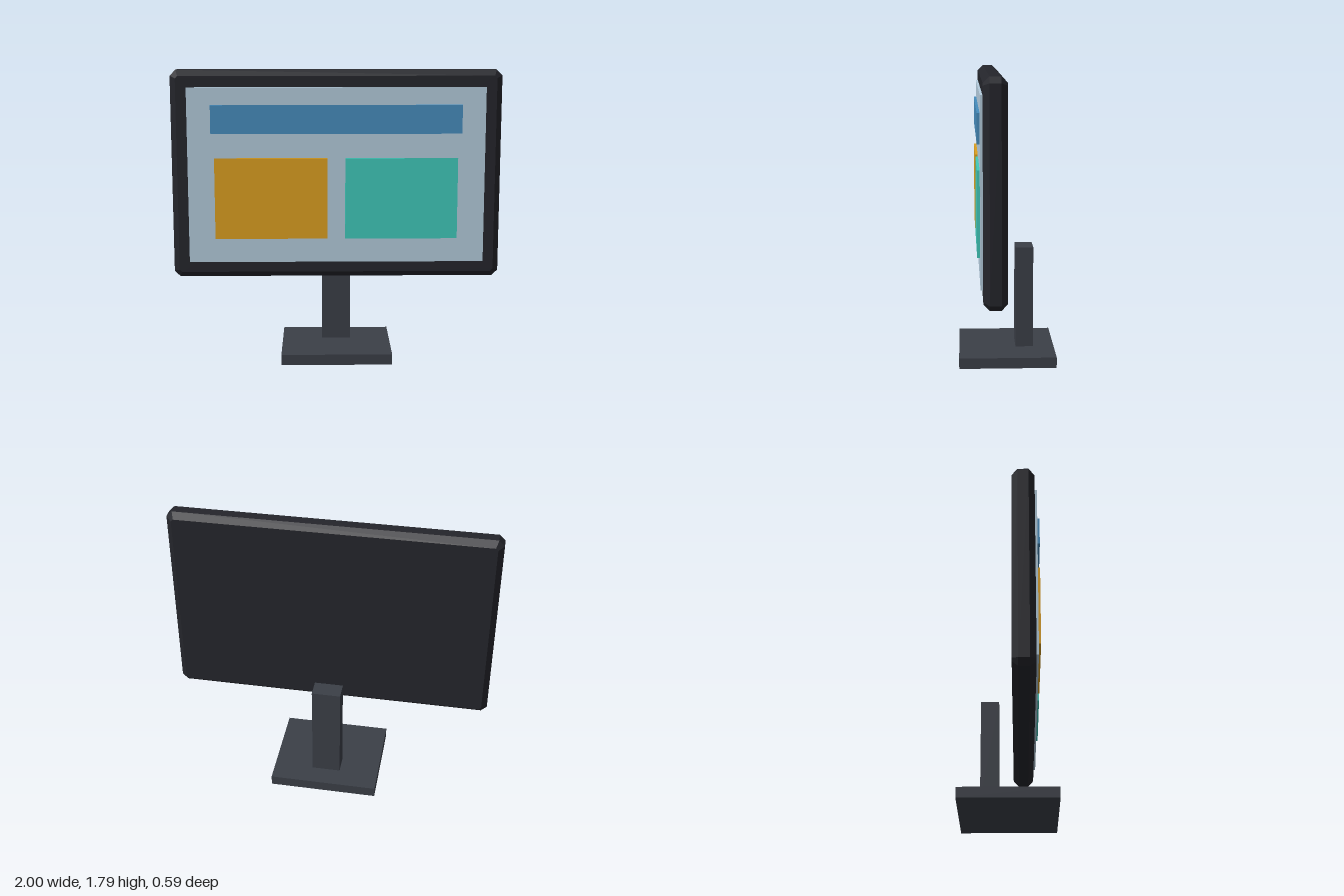
import * as THREE from 'three';

const paint = (color) => new THREE.MeshStandardMaterial({ color });

// Box given by its lower and upper limits on each axis
function block(name, [x0, x1], [y0, y1], [z0, z1], material) {
  const mesh = new THREE.Mesh(new THREE.BoxGeometry(x1 - x0, y1 - y0, z1 - z0), material);
  mesh.position.set((x0 + x1) / 2, (y0 + y1) / 2, (z0 + z1) / 2);
  mesh.name = name;
  return mesh;
}

// Slab with every edge chamfered, centred on its origin
function chamferedSlab(width, height, depth, bevel) {
  const w = width / 2 - bevel, h = height / 2 - bevel;
  const c = bevel * 0.414; // cut of the inset outline that grows to a full chamfer
  const outline = new THREE.Shape([
    [w, -h + c], [w, h - c], [w - c, h], [-w + c, h],
    [-w, h - c], [-w, -h + c], [-w + c, -h], [w - c, -h],
  ].map(([x, y]) => new THREE.Vector2(x, y)));
  const geometry = new THREE.ExtrudeGeometry(outline, {
    depth: depth - 2 * bevel, bevelSize: bevel, bevelThickness: bevel, bevelSegments: 1,
  });
  return geometry.center();
}

export function createModel() {
  const model = new THREE.Group();
  model.name = 'monitor';
  const standPaint = paint(0x3b3f47);

  // Stand
  model.add(
    block('base', [-0.34, 0.34], [0, 0.065], [-0.297, 0.297], standPaint),
    block('neck', [-0.09, 0.09], [0.065, 0.7], [-0.167, -0.057], standPaint),
  );

  // Housing
  const housing = new THREE.Mesh(chamferedSlab(2, 1.27, 0.134, 0.035), paint(0x24252b));
  housing.position.set(0, 1.157, 0.093);
  housing.name = 'housing';
  model.add(housing);

  // Screen and the raised panels on it
  model.add(
    block('screen', [-0.9, 0.9], [0.622, 1.69], [0.15, 0.174], paint(0xb4ccdd)),
    block('headerBar', [-0.757, 0.757], [1.412, 1.585], [0.168, 0.19], paint(0x468dbe)),
    block('rightPanel', [-0.738, -0.056], [0.77, 1.264], [0.168, 0.19], paint(0xdca020)),
    block('leftPanel', [0.053, 0.735], [0.77, 1.264], [0.168, 0.19], paint(0x40cabb)),
  );
  return model;
}
